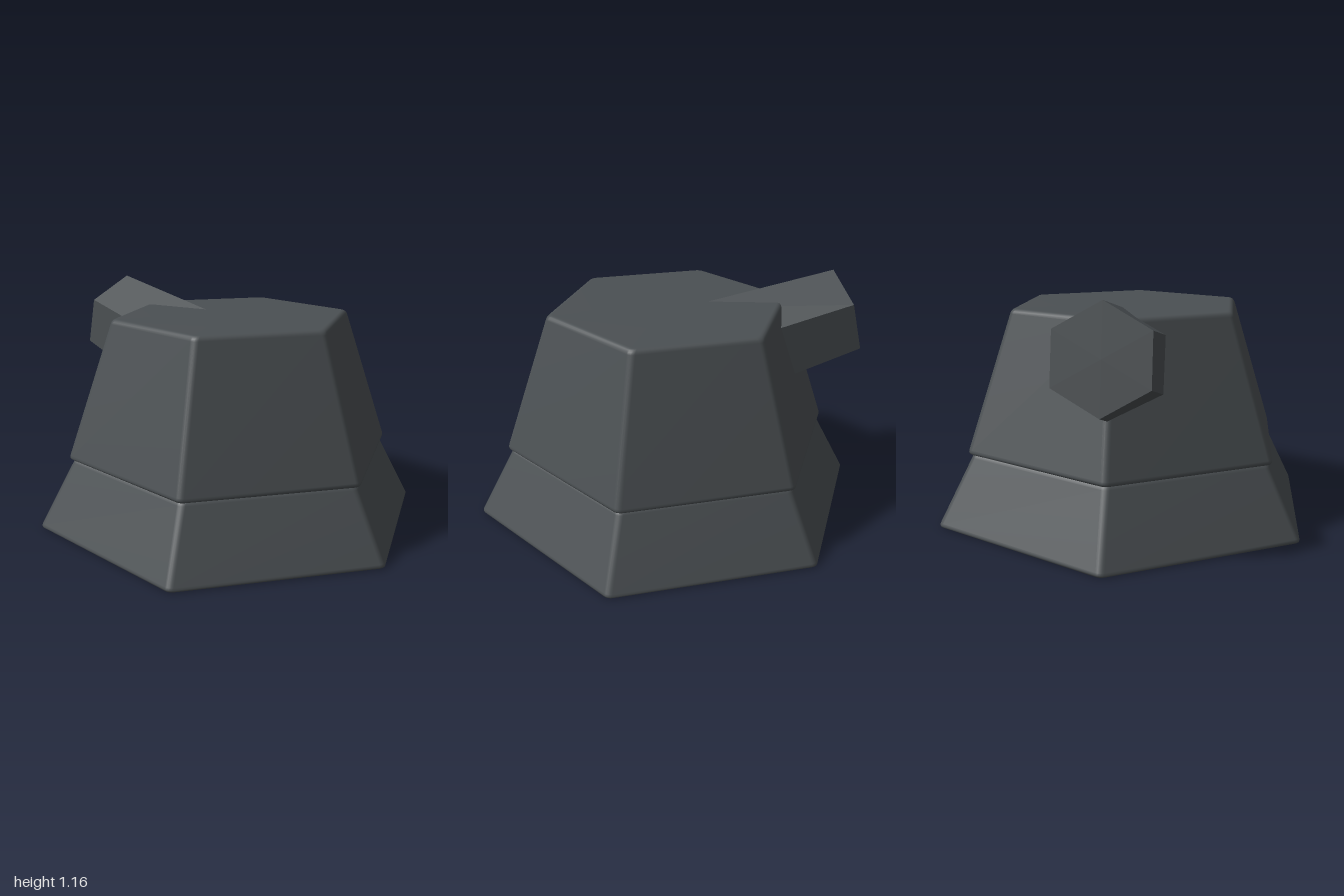
import * as THREE from 'three';

// Hexagonal frustum with softly rounded edges; corners point along +z and -z.
// Shared vertices give area-weighted normals, so the large faces stay flat.
function bevelledHexFrustum(bottomR, topR, y0, y1, cornerR, bevel) {
  const corners = [[0, y0], [bottomR, y0], [topR, y1], [0, y1]].map(p => new THREE.Vector2(...p));
  const profile = [corners[0]];
  for (const i of [1, 2]) {
    const c = corners[i];
    const toward = o => c.clone().add(o.clone().sub(c).setLength(bevel));
    const arc = new THREE.QuadraticBezierCurve(toward(corners[i - 1]), c, toward(corners[i + 1]));
    profile.push(...arc.getPoints(4));
  }
  profile.push(corners[3]);

  const steps = 4, count = 6 * (steps + 1);
  const positions = [], index = [];
  for (const { x: R, y } of profile) {
    const r = Math.min(cornerR, R * 0.5);
    const centre = R - r / Math.cos(Math.PI / 6);
    for (let k = 0; k < 6; k++) {
      const a = k * Math.PI / 3;
      for (let s = 0; s <= steps; s++) {
        const t = a + (s / steps - 0.5) * Math.PI / 3;
        positions.push(Math.sin(a) * centre + Math.sin(t) * r, y, Math.cos(a) * centre + Math.cos(t) * r);
      }
    }
  }
  for (let j = 0; j < profile.length - 1; j++) {
    for (let i = 0; i < count; i++) {
      const a = j * count + i, b = j * count + (i + 1) % count;
      index.push(a, b, b + count, a, b + count, a + count);
    }
  }
  const geometry = new THREE.BufferGeometry();
  geometry.setAttribute('position', new THREE.Float32BufferAttribute(positions, 3));
  geometry.setIndex(index);
  geometry.computeVertexNormals();
  return geometry;
}

// Hexagonal prism with sharp edges
function sharpHex(topR, bottomR, height) {
  const geometry = new THREE.CylinderGeometry(topR, bottomR, height, 6).toNonIndexed();
  geometry.computeVertexNormals();
  return geometry;
}

export function createModel() {
  const model = new THREE.Group();
  model.name = 'hexagonalTurret';
  const darkGrey = new THREE.MeshStandardMaterial({ color: 0x4b5053 });
  darkGrey.name = 'dark grey';

  const add = (name, geometry) => {
    const mesh = new THREE.Mesh(geometry, darkGrey);
    mesh.name = name;
    model.add(mesh);
    return mesh;
  };

  // Stacked body
  add('base', bevelledHexFrustum(1.006, 0.815, 0, 0.355, 0.04, 0.025));
  add('upperBody', bevelledHexFrustum(0.848, 0.608, 0.35, 1.05, 0.04, 0.025));

  // Stubby barrel, tapering outward and tilted up at the back
  const length = 0.8;
  const axis = new THREE.Vector3(0, 0.23, -0.973).normalize();
  const muzzle = new THREE.Vector3(0, 0.9275, -0.915);
  const barrel = add('barrel', sharpHex(0.244, 0.292, length));
  barrel.position.copy(muzzle).addScaledVector(axis, -length / 2);
  barrel.quaternion.setFromUnitVectors(new THREE.Vector3(0, 1, 0), axis);

  return model;
}
